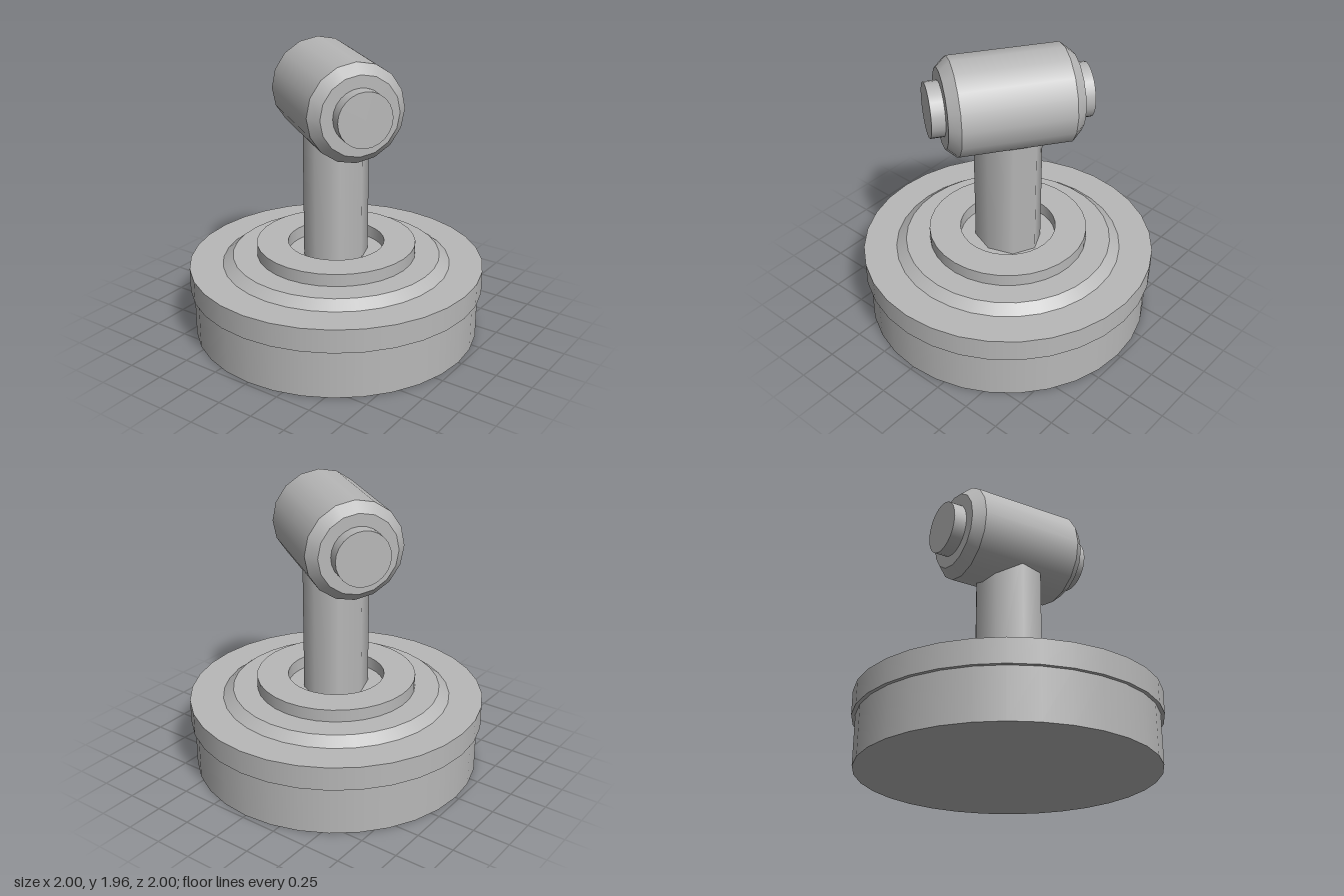
import * as THREE from 'three';

export function createModel() {
  const model = new THREE.Group();
  const grey = new THREE.MeshStandardMaterial({ color: 0xb8b8b8 });
  grey.name = 'grey';

  const add = (name, geometry, parent = model) => {
    const mesh = new THREE.Mesh(geometry, grey);
    mesh.name = name;
    parent.add(mesh);
    return mesh;
  };
  // Frustum standing between two heights
  const drum = (rTop, rBottom, y0, y1, sides) =>
    new THREE.CylinderGeometry(rTop, rBottom, y1 - y0, sides).translate(0, (y0 + y1) / 2, 0);

  // Stepped round base
  add('baseDrum', drum(0.975, 0.975, 0, 0.33, 32));
  add('baseRim', drum(1, 1, 0.33, 0.49, 32));
  add('bevelPlate', drum(0.705, 0.775, 0.49, 0.545, 32));

  // Collar: wall pieces and a flat ring around the post
  const collar = new THREE.Group();
  collar.name = 'collar';
  model.add(collar);
  const wall = (r) => new THREE.CylinderGeometry(r, r, 0.085, 32, 1, true).translate(0, 0.5875, 0);
  add('collarOuterWall', wall(0.54), collar);
  const inner = wall(0.327);
  inner.scale(-1, 1, 1); // mirrored so the wall faces inward
  for (const key of ['normal']) {
    const n = inner.attributes[key];
    for (let i = 0; i < n.count; i++) n.setXYZ(i, -n.getX(i), n.getY(i), -n.getZ(i));
  }
  add('collarInnerWall', inner, collar);
  add('collarTop', new THREE.RingGeometry(0.327, 0.54, 32).rotateX(-Math.PI / 2).translate(0, 0.63, 0), collar);

  // Slightly oval eight-sided post
  add('post', drum(1, 1, 0.545, 1.5, 8).scale(0.24, 1, 0.207));

  // Bevelled barrel head lying across the post, with a knob at each end
  const head = new THREE.Group();
  head.name = 'head';
  head.position.y = 1.635;
  head.rotation.y = THREE.MathUtils.degToRad(-35.2);
  model.add(head);
  add('barrel', new THREE.CylinderGeometry(0.325, 0.325, 0.732, 16).rotateX(Math.PI / 2), head);
  for (const [side, turn] of [['front', 1], ['back', -1]]) {
    add(side + 'Bevel', drum(0.262, 0.325, 0.366, 0.436, 16).rotateX(turn * Math.PI / 2), head);
    add(side + 'Knob', drum(0.18, 0.18, 0.43, 0.525, 24).rotateX(turn * Math.PI / 2), head);
  }
  return model;
}
